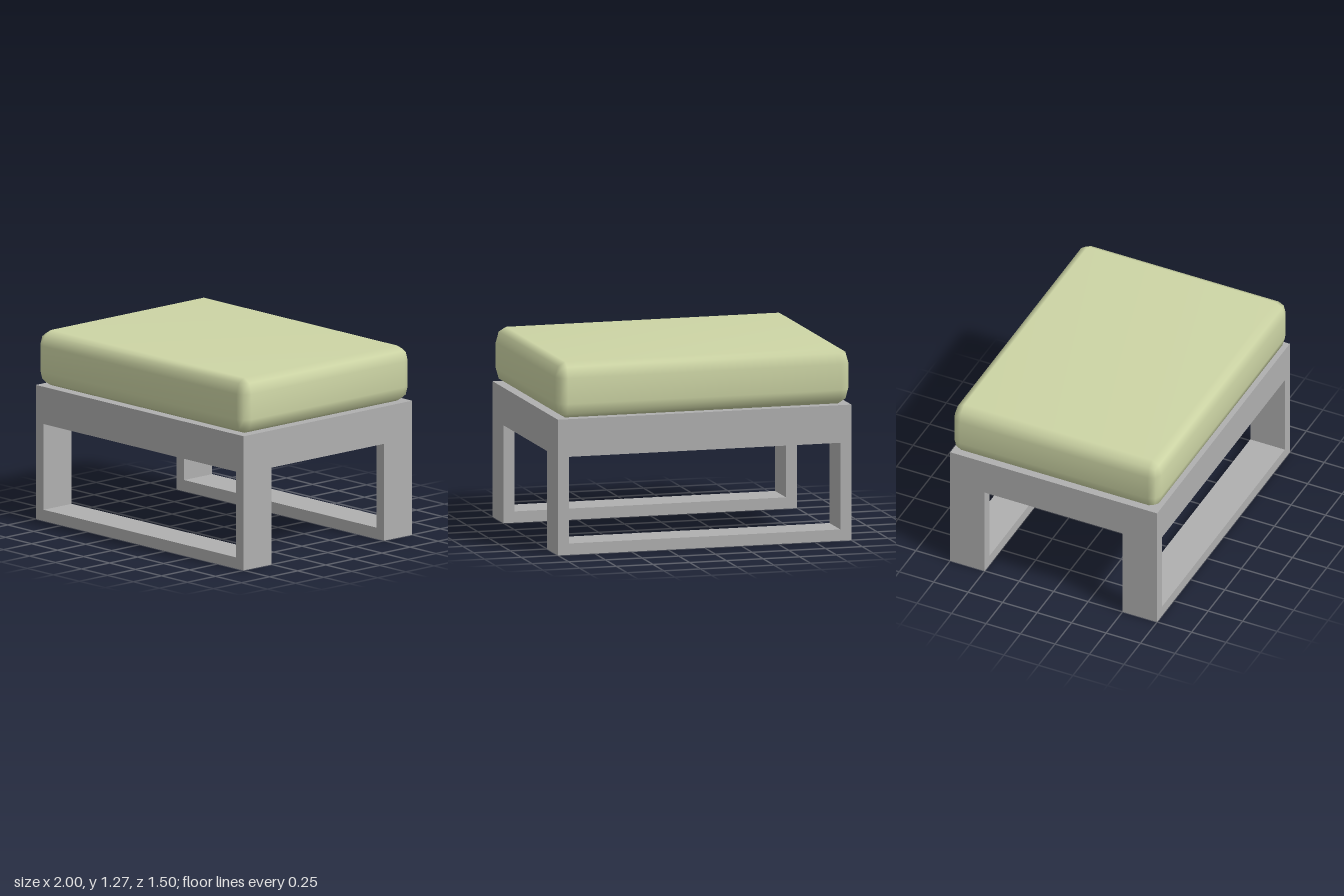
import * as THREE from 'three';
import { mergeVertices } from 'three/addons/utils/BufferGeometryUtils.js';

const W = 2, D = 1.5, FRAME_TOP = 0.9, TOP = 1.27;
const T = 0.075;        // board thickness
const LEG = 0.25;       // leg depth along z
const APRON = 0.25;     // apron height

// Box whose edges are rounded in two facets, with its own radius per axis
function cushionGeometry(w, h, d, rx, ry, rz) {
  const box = new THREE.BoxGeometry(2, 2, 2, 3, 3, 3);
  box.deleteAttribute('normal');
  box.deleteAttribute('uv');
  const g = mergeVertices(box);
  const p = g.attributes.position;
  const core = new THREE.Vector3(w / 2 - rx, h / 2 - ry, d / 2 - rz);
  const radius = new THREE.Vector3(rx, ry, rz);
  const v = new THREE.Vector3();
  for (let i = 0; i < p.count; i++) {
    v.fromBufferAttribute(p, i);
    const sign = new THREE.Vector3(Math.sign(v.x), Math.sign(v.y), Math.sign(v.z));
    const dir = new THREE.Vector3(Math.trunc(v.x), Math.trunc(v.y), Math.trunc(v.z)).normalize();
    v.copy(core).multiply(sign).add(dir.multiply(radius));
    p.setXYZ(i, v.x, v.y, v.z);
  }
  g.computeVertexNormals();
  return g;
}

export function createModel() {
  const model = new THREE.Group();
  model.name = 'ottoman';
  const grey = new THREE.MeshStandardMaterial({ color: 0xb0b0b0 });
  grey.name = 'grey frame';
  const green = new THREE.MeshStandardMaterial({ color: 0xcdd5a5 });
  green.name = 'pale green fabric';

  function add(name, geometry, material, x, y, z) {
    const mesh = new THREE.Mesh(geometry, material);
    mesh.name = name;
    mesh.position.set(x, y, z);
    model.add(mesh);
    return mesh;
  }

  // End panels: two legs and a side apron cut as one arch
  const arch = new THREE.Shape([
    [-D / 2, 0], [-D / 2 + LEG, 0], [-D / 2 + LEG, FRAME_TOP - APRON],
    [D / 2 - LEG, FRAME_TOP - APRON], [D / 2 - LEG, 0], [D / 2, 0],
    [D / 2, FRAME_TOP], [-D / 2, FRAME_TOP],
  ].map(([z, y]) => new THREE.Vector2(z, y)));
  const panel = new THREE.ExtrudeGeometry(arch, { depth: T, bevelEnabled: false });
  panel.translate(0, 0, -T / 2);
  panel.rotateY(Math.PI / 2);
  add('leftEndPanel', panel, grey, W / 2 - T / 2, 0, 0);
  add('rightEndPanel', panel, grey, -W / 2 + T / 2, 0, 0);

  // Front and back: thin apron above, deep floor rail below
  const apron = new THREE.BoxGeometry(W - 2 * T, APRON, T);
  const rail = new THREE.BoxGeometry(W - 2 * T, T, LEG);
  for (const [side, s] of [['front', 1], ['back', -1]]) {
    add(side + 'Apron', apron, grey, 0, FRAME_TOP - APRON / 2, s * (D / 2 - T / 2));
    add(side + 'FloorRail', rail, grey, 0, T / 2, s * (D / 2 - LEG / 2));
  }

  // Soft seat cushion resting on the frame
  const h = TOP - FRAME_TOP;
  add('cushion', cushionGeometry(W, h, D, 0.07, 0.1, 0.07), green, 0, FRAME_TOP + h / 2, 0);

  return model;
}
